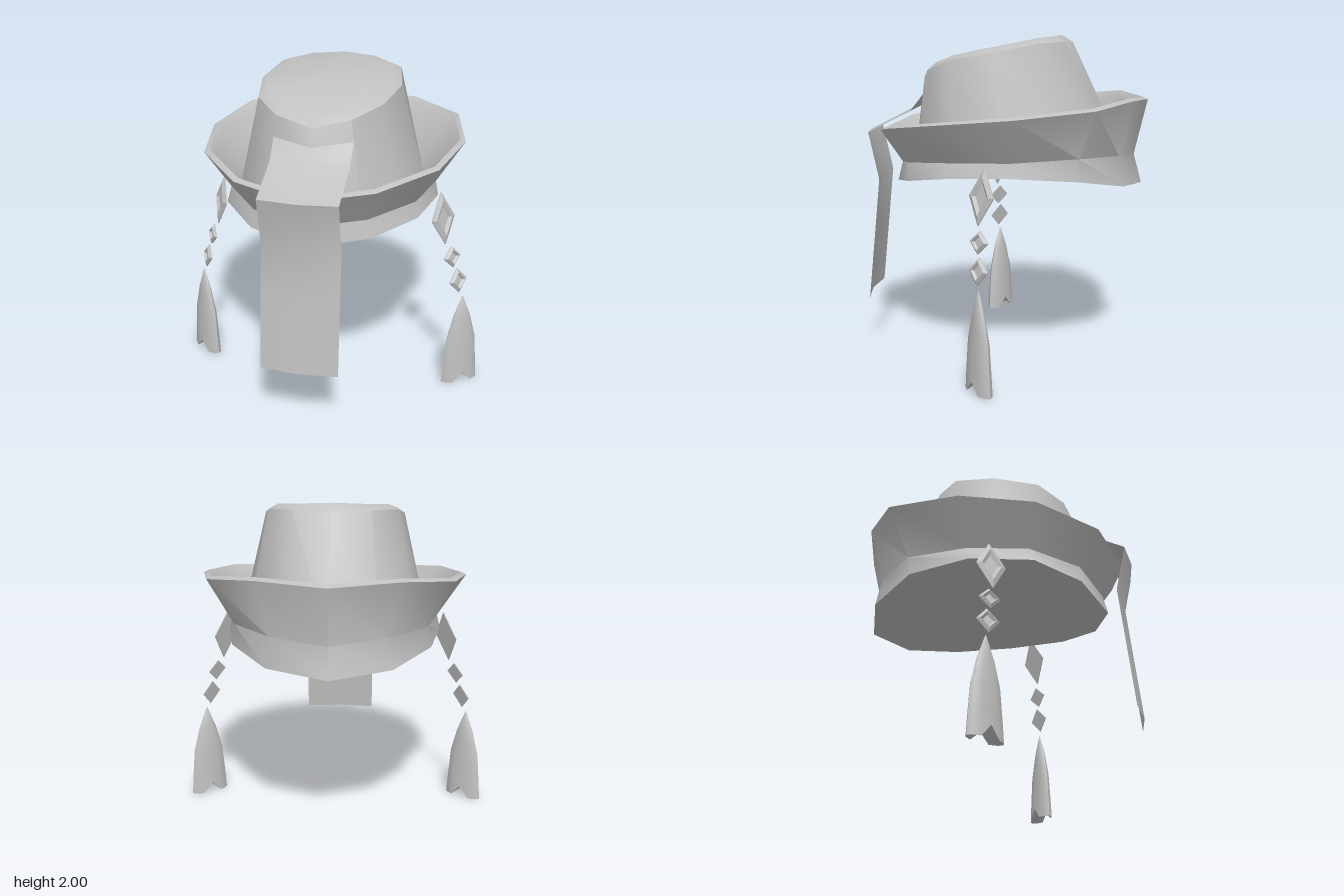
import * as THREE from 'three';
import { toCreasedNormals } from 'three/addons/utils/BufferGeometryUtils.js';

const felt = new THREE.MeshStandardMaterial({ color: 0xc0c0c0 });
felt.name = 'grey felt';
const ribbonFelt = felt.clone();
ribbonFelt.name = 'grey ribbon';
ribbonFelt.side = THREE.DoubleSide;

// Skins a stack of closed rings, with optional fan caps (start/end give the cap centre height)
function skin(rings, { start, end, crease = 0.7 } = {}) {
  const n = rings[0].length, pos = rings.flat(2), index = [];
  const cap = (r, y, flip) => {
    const c = pos.length / 3, mean = k => rings[r].reduce((s, p) => s + p[k], 0) / n;
    pos.push(mean(0), y, mean(2));
    for (let j = 0; j < n; j++) {
      const a = r * n + j, b = r * n + (j + 1) % n;
      index.push(c, ...(flip ? [b, a] : [a, b]));
    }
  };
  for (let i = 0; i < rings.length - 1; i++) {
    for (let j = 0; j < n; j++) {
      const k = (j + 1) % n, a = i * n + j, b = i * n + k, c = b + n, d = a + n;
      index.push(a, d, c, a, c, b);
    }
  }
  if (start !== undefined) cap(0, start, false);
  if (end !== undefined) cap(rings.length - 1, end, true);
  const g = new THREE.BufferGeometry();
  g.setAttribute('position', new THREE.Float32BufferAttribute(pos, 3));
  g.setIndex(index);
  return toCreasedNormals(g, crease);
}

// Completes a ring from its +x half, listed from back to front
const mirror = half => [...half, ...half.slice(1, -1).reverse().map(([x, y, z]) => [-x, y, z])];

function add(parent, name, geometry, material = felt) {
  const mesh = new THREE.Mesh(geometry, material);
  mesh.name = name;
  parent.add(mesh);
  return mesh;
}

// Faceted diamond pendant with a raised frame, facing +z
function diamondGeometry(w, h) {
  const ring = (s, y) => [[0, y, -h * s], [w * s, y, 0], [0, y, h * s], [-w * s, y, 0]];
  return skin([ring(1, -0.004), ring(1, 0.002), ring(0.68, 0.016), ring(0.45, 0.002)],
    { start: -0.004, end: 0.002, crease: 0.3 }).rotateX(Math.PI / 2);
}

// Flattened tassel with a split hem
function tasselGeometry() {
  const levels = [[0, 0.127, 0.05], [0.12, 0.118, 0.046], [0.3, 0.102, 0.038], [0.45, 0.06, 0.025], [0.59, 0.003, 0.003]];
  const rings = levels.map(([y, w, d], i) => Array.from({ length: 12 }, (_, j) => {
    const a = j * Math.PI / 6;
    const split = i === 0 && j % 6 === 0 ? 0.07 : 0;
    return [w * Math.sin(a), y + split, -d * Math.cos(a)];
  }));
  return skin(rings, { start: 0.06, end: 0.592, crease: 0.9 });
}

export function createModel() {
  const hat = new THREE.Group();
  hat.name = 'hat';

  const crownBase = mirror([[0, 1.3, -0.72], [0.29, 1.3, -0.62], [0.5, 1.3, -0.37], [0.57, 1.3, -0.03],
    [0.5, 1.3, 0.32], [0.29, 1.3, 0.52], [0, 1.3, 0.58]]);

  // Upturned brim: hem, waist, rolled rim, then down inside to the crown
  const hem = mirror([[0, 1.08, -0.85], [0.36, 1.11, -0.72], [0.59, 1.17, -0.43], [0.66, 1.195, -0.05],
    [0.59, 1.18, 0.33], [0.36, 1.13, 0.58], [0, 1.08, 0.7]]);
  const waist = mirror([[0, 1.26, -0.8], [0.34, 1.29, -0.69], [0.57, 1.3, -0.45], [0.64, 1.28, -0.06],
    [0.57, 1.27, 0.3], [0.34, 1.24, 0.57], [0, 1.2, 0.67]]);
  const rim = mirror([[0, 1.605, -0.88], [0.41, 1.62, -0.76], [0.71, 1.585, -0.54], [0.81, 1.54, -0.08],
    [0.71, 1.5, 0.37], [0.41, 1.45, 0.7], [0, 1.4, 0.81]]);
  const inset = (s, dy) => rim.map(([x, y, z]) => [x * s, y + dy, (z + 0.04) * s - 0.04]);
  add(hat, 'brim', skin([hem, waist, rim, inset(0.96, 0.015), inset(0.91, -0.02), crownBase], { start: 1.18 }));

  // Crown with a forward-sloping top
  const edge = mirror([[0, 1.955, -0.41], [0.23, 1.96, -0.36], [0.38, 1.95, -0.21], [0.43, 1.9, 0.05],
    [0.37, 1.85, 0.33], [0.22, 1.79, 0.47], [0, 1.74, 0.52]]);
  const top = mirror([[0, 2, -0.34], [0.2, 1.99, -0.3], [0.33, 1.975, -0.17], [0.385, 1.93, 0.05],
    [0.33, 1.885, 0.29], [0.19, 1.835, 0.42], [0, 1.805, 0.46]]);
  add(hat, 'crown', skin([crownBase, edge, top], { end: 1.925 }));

  // Front ribbon: a slightly bowed strip draped over the brim
  const path = [[1.67, 0.48], [1.6, 0.53], [1.54, 0.58], [1.41, 0.84], [1.12, 0.778], [0.8, 0.81], [0.36, 0.855]];
  const ribbon = new THREE.PlaneGeometry(0.47, 1, 2, path.length - 1);
  const p = ribbon.attributes.position;
  for (let i = 0; i < p.count; i++) {
    const [y, z] = path[Math.floor(i / 3)];
    p.setY(i, y);
    p.setZ(i, z + (i % 3 === 1 ? 0.026 : 0));
  }
  add(hat, 'ribbon', toCreasedNormals(ribbon, 0.7), ribbonFelt);

  // Hanging ornaments on both sides: three diamonds and a tassel
  const diamonds = [[0.715, 1.1, 0.1, 0.095, 0.165], [0.782, 0.853, 0.108, 0.07, 0.068], [0.825, 0.697, 0.108, 0.072, 0.08]];
  for (const side of [1, -1]) {
    const ornament = new THREE.Group();
    ornament.name = side > 0 ? 'leftOrnament' : 'rightOrnament';
    for (const [x, y, z, w, h] of diamonds) {
      const d = add(ornament, 'diamond', diamondGeometry(w, h));
      d.position.set(side * x, y, z);
      d.rotation.set(-0.18, side * 0.9, 0, 'YXZ');
    }
    const tassel = add(ornament, 'tassel', tasselGeometry());
    tassel.position.set(side * 0.86, 0, 0.105);
    tassel.rotation.y = side * 0.62;
    hat.add(ornament);
  }
  return hat;
}
